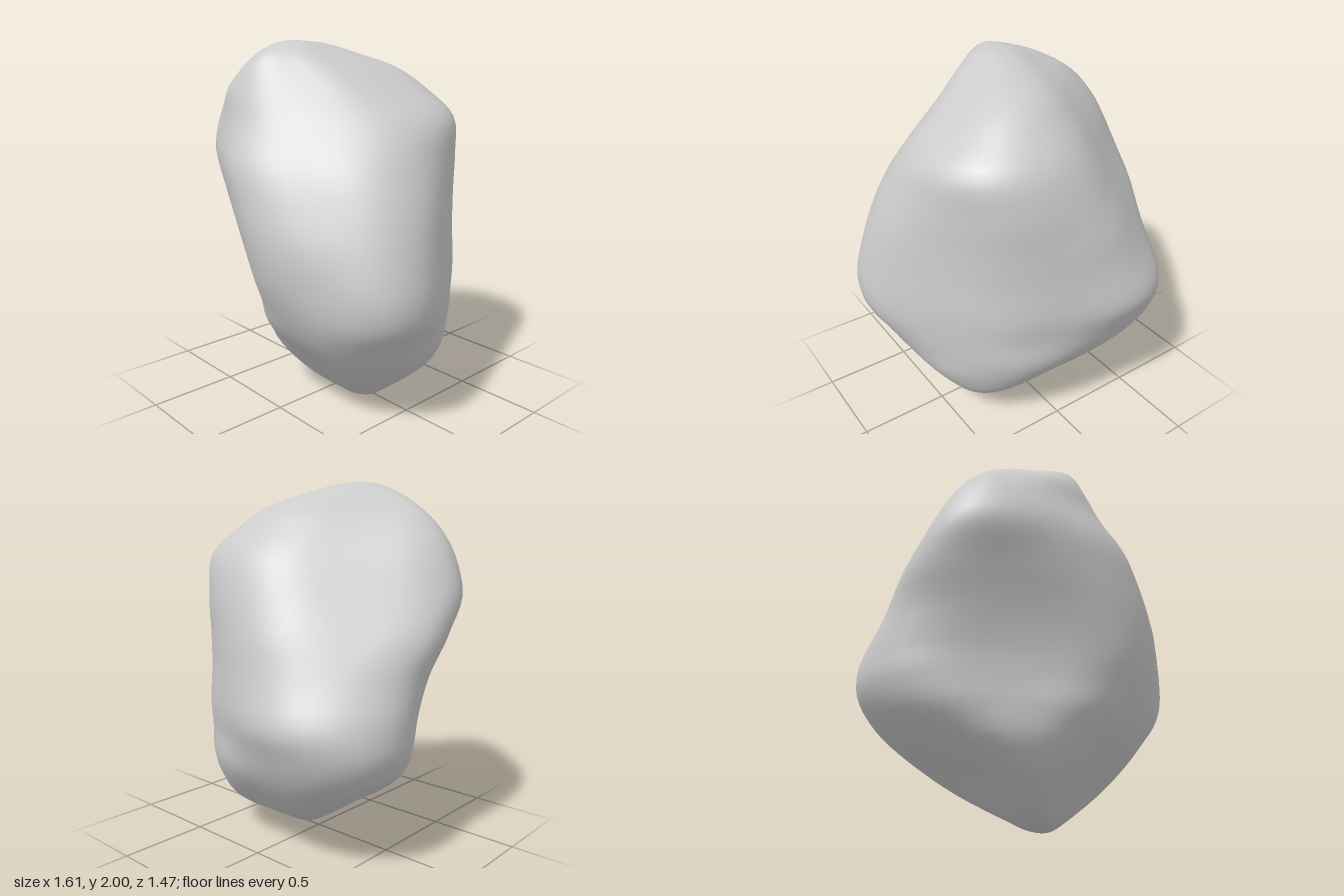
import * as THREE from 'three';
import { mergeVertices } from 'three/addons/utils/BufferGeometryUtils.js';

const COLS = 64, ROWS = 64;

// Cross-sections: height, then the reach of the stone in eight directions,
// turning in 45 degree steps from +x through +z, -x and -z.
const SECTIONS = [
  [0.01, 0.25, 0.20, 0.08, -0.04, -0.10, -0.06, 0.04, 0.18],
  [0.05, 0.31, 0.27, 0.15, 0.10, 0.02, 0.06, 0.10, 0.25],
  [0.20, 0.48, 0.47, 0.30, 0.35, 0.23, 0.36, 0.35, 0.49],
  [0.35, 0.61, 0.61, 0.43, 0.43, 0.47, 0.61, 0.50, 0.58],
  [0.50, 0.70, 0.73, 0.55, 0.455, 0.68, 0.79, 0.61, 0.62],
  [0.65, 0.79, 0.82, 0.63, 0.47, 0.765, 0.87, 0.68, 0.615],
  [0.80, 0.805, 0.86, 0.69, 0.49, 0.775, 0.84, 0.73, 0.61],
  [1.00, 0.77, 0.82, 0.73, 0.54, 0.765, 0.74, 0.68, 0.61],
  [1.20, 0.72, 0.75, 0.735, 0.60, 0.80, 0.63, 0.64, 0.63],
  [1.40, 0.645, 0.65, 0.715, 0.67, 0.79, 0.53, 0.59, 0.655],
  [1.60, 0.56, 0.51, 0.63, 0.655, 0.72, 0.42, 0.52, 0.60],
  [1.75, 0.38, 0.41, 0.585, 0.58, 0.62, 0.31, 0.39, 0.46],
  [1.85, 0.24, 0.34, 0.54, 0.49, 0.50, 0.22, 0.27, 0.33],
  [1.93, 0.10, 0.27, 0.48, 0.41, 0.35, 0.11, 0.06, 0.11],
  [1.985, 0.00, 0.20, 0.38, 0.34, 0.19, -0.01, -0.13, -0.10],
];
const BOTTOM = new THREE.Vector3(0.18, 0, 0.03);
const TOP = new THREE.Vector3(-0.08, 2, 0.31);

// Broad flat cuts: [direction in degrees, reach at y = 0, change of reach with y]
const CUTS = [
  [55, 1.09, -0.36],
  [66.4, 0.73, 0],
  [114, 0.61, 0],
  [217, 0.865, 0],
  [289.7, 0.61, 0],
  [331.5, 0.61, 0],
];

// Average each radius with its neighbours around the ring
const soften = (radii) => radii.map((_, j) => {
  let sum = 0;
  for (let k = -2; k <= 2; k++) sum += radii[(j + k + COLS) % COLS];
  return sum / 5;
});

// A polygon bounded by the reaches and the cuts, with worn corners
function sectionRing([y, ...reach]) {
  const cx = (reach[0] - reach[4]) / 2, cz = (reach[2] - reach[6]) / 2;
  const sides = [
    ...reach.map((h, i) => [(i * Math.PI) / 4, h]),
    ...CUTS.map(([deg, h, slope]) => [THREE.MathUtils.degToRad(deg), h + slope * y]),
  ];
  const angles = Array.from({ length: COLS }, (_, j) => (j / COLS) * Math.PI * 2);
  const radii = angles.map((a) => Math.min(...sides.map(([b, h]) => {
    const dist = Math.max(0.02, h - cx * Math.cos(b) - cz * Math.sin(b));
    return dist / Math.max(1e-3, Math.cos(a - b));
  })));
  const ring = soften(soften(radii)).map((r, j) =>
    new THREE.Vector3(cx + r * Math.cos(angles[j]), y, cz + r * Math.sin(angles[j])));
  // bring the worn ring back to its reaches, diagonals first
  for (const i of [1, 3, 0, 2, 1, 3, 0, 2]) {
    const n = new THREE.Vector3(Math.cos((i * Math.PI) / 4), 0, Math.sin((i * Math.PI) / 4));
    const along = ring.map((p) => p.dot(n));
    const lo = Math.min(...along), hi = Math.max(...along);
    ring.forEach((p, j) => {
      const wanted = THREE.MathUtils.mapLinear(along[j], lo, hi, -reach[i + 4], reach[i]);
      p.addScaledVector(n, wanted - along[j]);
    });
  }
  return ring;
}

// Smooth skin: one curve per column runs from the bottom to the top
function stoneGeometry() {
  const rings = SECTIONS.map(sectionRing);
  const positions = [], indices = [];
  for (let j = 0; j < COLS; j++) {
    const curve = new THREE.CatmullRomCurve3([BOTTOM, ...rings.map((r) => r[j]), TOP]);
    for (let i = 0; i <= ROWS; i++) positions.push(...curve.getPoint(i / ROWS).toArray());
  }
  for (let j = 0; j < COLS; j++) {
    const here = j * (ROWS + 1), next = ((j + 1) % COLS) * (ROWS + 1);
    for (let i = 0; i < ROWS; i++) {
      const a = here + i, b = next + i;
      if (i > 0) indices.push(a, a + 1, b);
      if (i < ROWS - 1) indices.push(b, a + 1, b + 1);
    }
  }
  const geometry = new THREE.BufferGeometry();
  geometry.setAttribute('position', new THREE.Float32BufferAttribute(positions, 3));
  geometry.setIndex(indices);
  const merged = mergeVertices(geometry, 1e-4);
  merged.computeVertexNormals();
  return merged;
}

export function createModel() {
  const model = new THREE.Group();
  model.name = 'boulder';
  const stone = new THREE.Mesh(stoneGeometry(), new THREE.MeshStandardMaterial({ color: 0xcccccc }));
  stone.name = 'stone';
  model.add(stone);
  return model;
}
